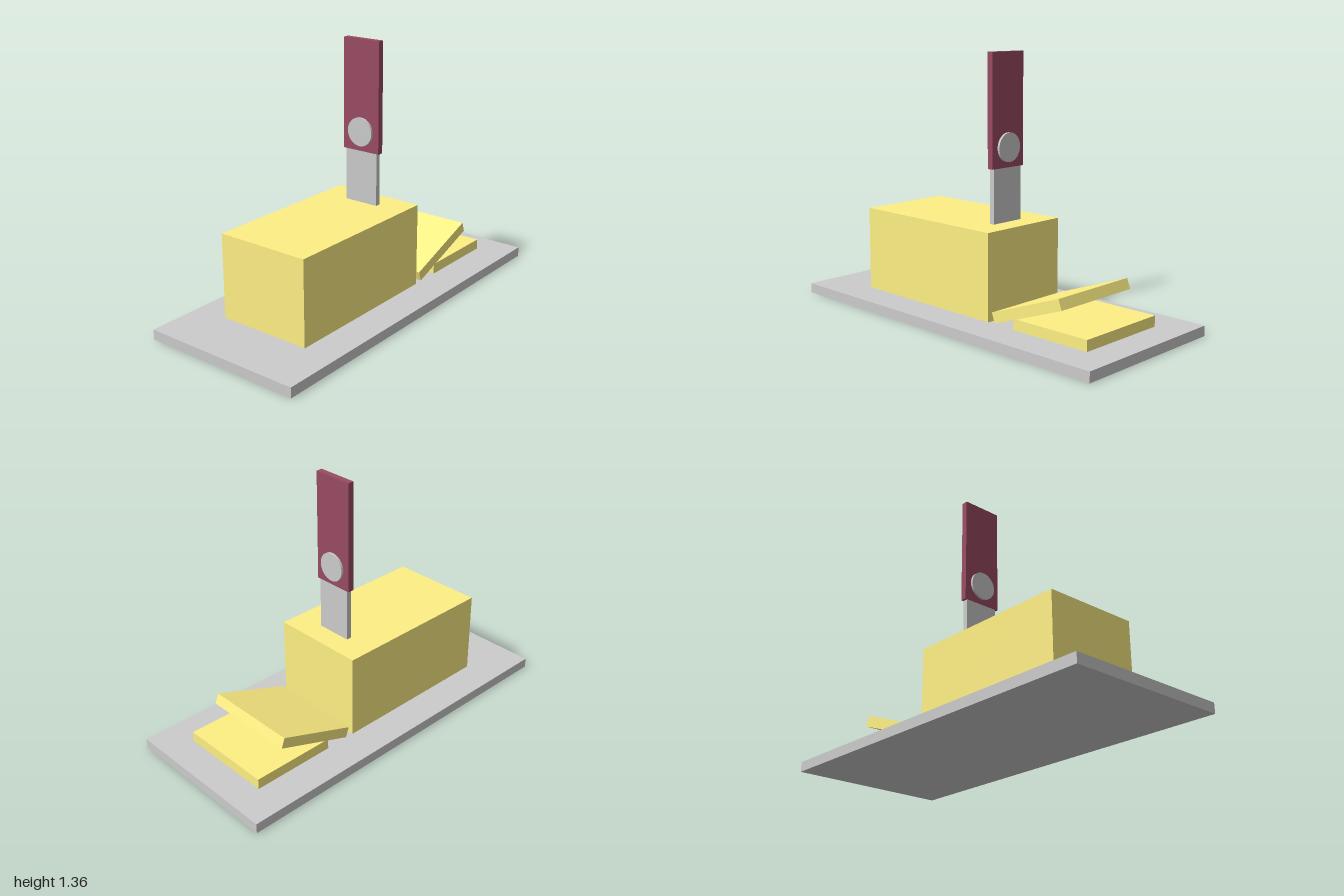
import * as THREE from 'three';

export function createModel() {
  const group = new THREE.Group();
  const grey = new THREE.MeshStandardMaterial({ color: 0xcccccc });
  const yellow = new THREE.MeshStandardMaterial({ color: 0xfff084 });
  const maroon = new THREE.MeshStandardMaterial({ color: 0x994b62 });

  const add = (parent, name, geometry, material, x, y) => {
    const mesh = new THREE.Mesh(geometry, material);
    mesh.name = name;
    mesh.position.set(x, y, 0);
    parent.add(mesh);
    return mesh;
  };
  const box = (w, h, d) => new THREE.BoxGeometry(w, h, d);

  // Serving board and the block of butter on it
  const boardTop = 0.053;
  add(group, 'board', box(2, boardTop, 0.88), grey, 0, boardTop / 2);
  add(group, 'butterBlock', box(0.91, 0.447, 0.516), yellow, -0.24, boardTop + 0.2235);

  // Cut slices: one lying flat, one leaning on it
  const slice = box(0.452, 0.056, 0.516);
  add(group, 'flatSlice', slice, yellow, 0.61, boardTop + 0.028);
  add(group, 'leaningSlice', slice, yellow, 0.463, 0.16).rotation.z = THREE.MathUtils.degToRad(20);

  // Knife standing upright, its blade sunk into the block
  const knife = new THREE.Group();
  knife.name = 'knife';
  knife.position.x = 0.084;
  group.add(knife);
  add(knife, 'blade', box(0.028, 0.58, 0.194), grey, 0, 0.52);
  add(knife, 'handle', box(0.034, 0.58, 0.22), maroon, 0, 1.07);
  const rivet = new THREE.CylinderGeometry(0.075, 0.075, 0.06, 32).rotateZ(Math.PI / 2);
  add(knife, 'rivet', rivet, grey, 0, 0.883);

  return group;
}
